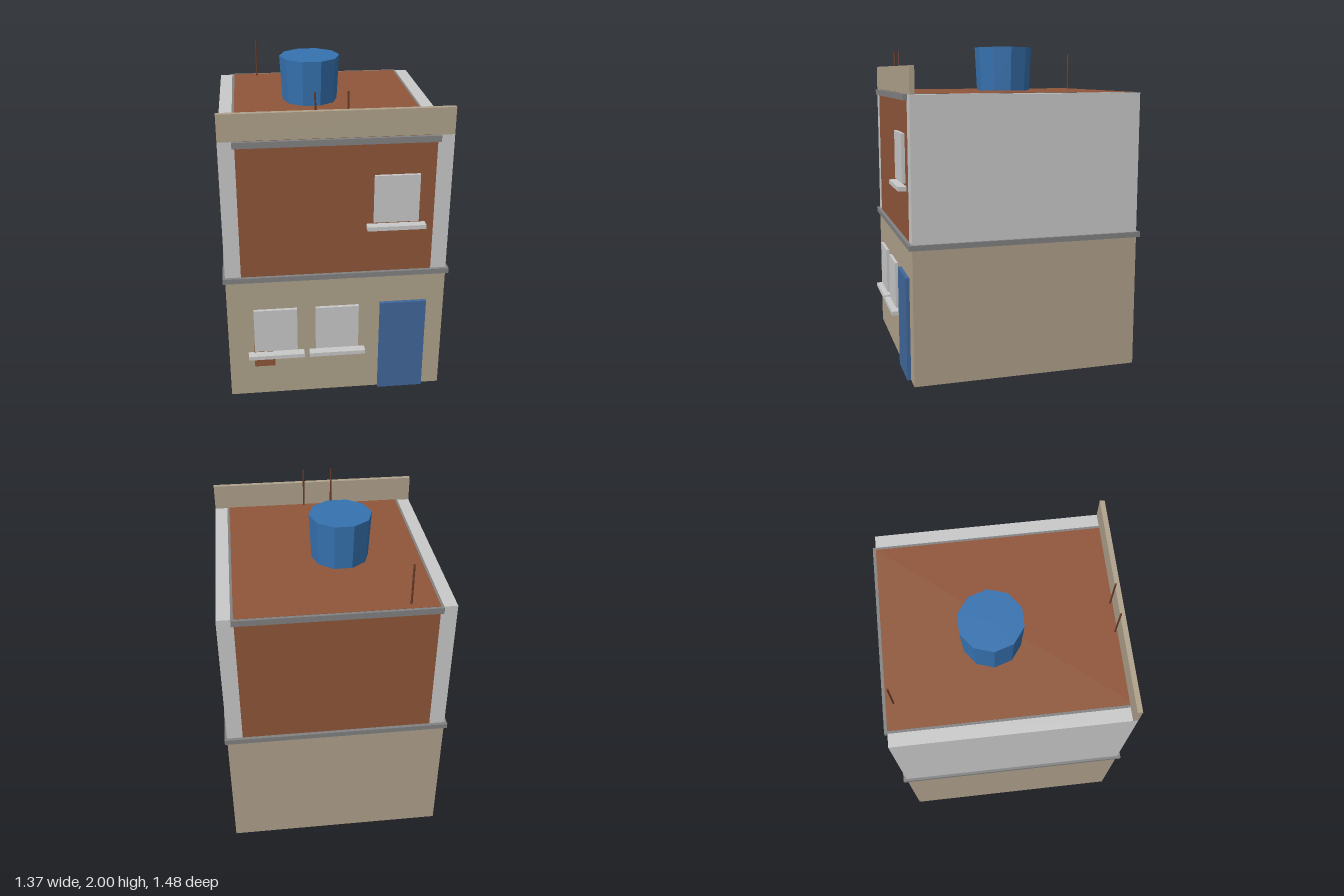
import * as THREE from 'three';

const mat = (name, color) => {
  const m = new THREE.MeshStandardMaterial({ color });
  m.name = name;
  return m;
};

export function createModel() {
  const plaster = mat('beigePlaster', 0xb0a28c);
  const pale = mat('paleGrey', 0xc9c9c9);
  const brick = mat('brick', 0x90563a);
  const concrete = mat('concrete', 0x828282);
  const doorBlue = mat('doorBlue', 0x40679a);
  const tankBlue = mat('tankBlue', 0x3672b0);
  const rust = mat('rustySteel', 0x6a3c28);

  const house = new THREE.Group();
  house.name = 'house';

  // Box given by its limits on each axis
  const box = (name, material, [x0, x1], [y0, y1], [z0, z1]) => {
    const mesh = new THREE.Mesh(new THREE.BoxGeometry(x1 - x0, y1 - y0, z1 - z0), material);
    mesh.position.set((x0 + x1) / 2, (y0 + y1) / 2, (z0 + z1) / 2);
    mesh.name = name;
    house.add(mesh);
    return mesh;
  };

  const back = -0.72, front = 0.69, roof = 1.715;

  // Storeys: plastered ground floor, brick upper floor between pale side walls
  box('groundFloor', plaster, [-0.67, 0.67], [0, 0.84], [back, front]);
  box('upperFloor', brick, [-0.575, 0.575], [0.84, roof + 0.003], [back, front]);
  box('rightSideWall', pale, [-0.67, -0.575], [0.84, roof], [back, front]);
  box('leftSideWall', pale, [0.575, 0.67], [0.84, roof], [back, front]);

  // Floor slabs showing as bands, and the front parapet
  box('middleSlab', concrete, [-0.685, 0.685], [0.825, 0.857], [-0.74, 0.71]);
  box('roofSlab', concrete, [-0.59, 0.59], [1.68, roof + 0.0015], [-0.738, 0.712]);
  box('parapet', plaster, [-0.67, 0.67], [roof, 1.875], [0.66, front]);

  // Windows with projecting sills: [centre x, sill bottom y]
  for (const [x, y] of [[-0.377, 0.29], [0.004, 0.29], [0.349, 1.15]]) {
    box('window', pale, [x - 0.133, x + 0.133], [y + 0.04, y + 0.335], [front - 0.01, 0.71]);
    box('windowSill', pale, [x - 0.174, x + 0.174], [y, y + 0.026], [front - 0.01, 0.742]);
  }

  // Door and exposed brick patch
  box('door', doorBlue, [0.27, 0.557], [0, 0.635], [front - 0.01, 0.713]);
  box('brickPatch', brick, [-0.514, -0.385], [0.208, 0.365], [front - 0.003, front + 0.004]);

  // Ten-sided water tank, narrower at the base
  const tankGeo = new THREE.CylinderGeometry(0.19, 0.175, 2 - roof, 10, 1, false, Math.PI / 2).toNonIndexed();
  tankGeo.computeVertexNormals();
  const tank = new THREE.Mesh(tankGeo, tankBlue);
  tank.position.set(-0.09, (2 + roof) / 2, -0.08);
  tank.name = 'waterTank';
  house.add(tank);

  // Reinforcing bars left standing on the roof
  const barGeo = new THREE.CylinderGeometry(0.006, 0.006, 0.26, 6);
  for (const [x, z] of [[-0.415, -0.675], [-0.12, 0.646], [0.065, 0.646]]) {
    const bar = new THREE.Mesh(barGeo, rust);
    bar.position.set(x, 1.84, z);
    bar.name = 'reinforcingBar';
    house.add(bar);
  }

  return house;
}
